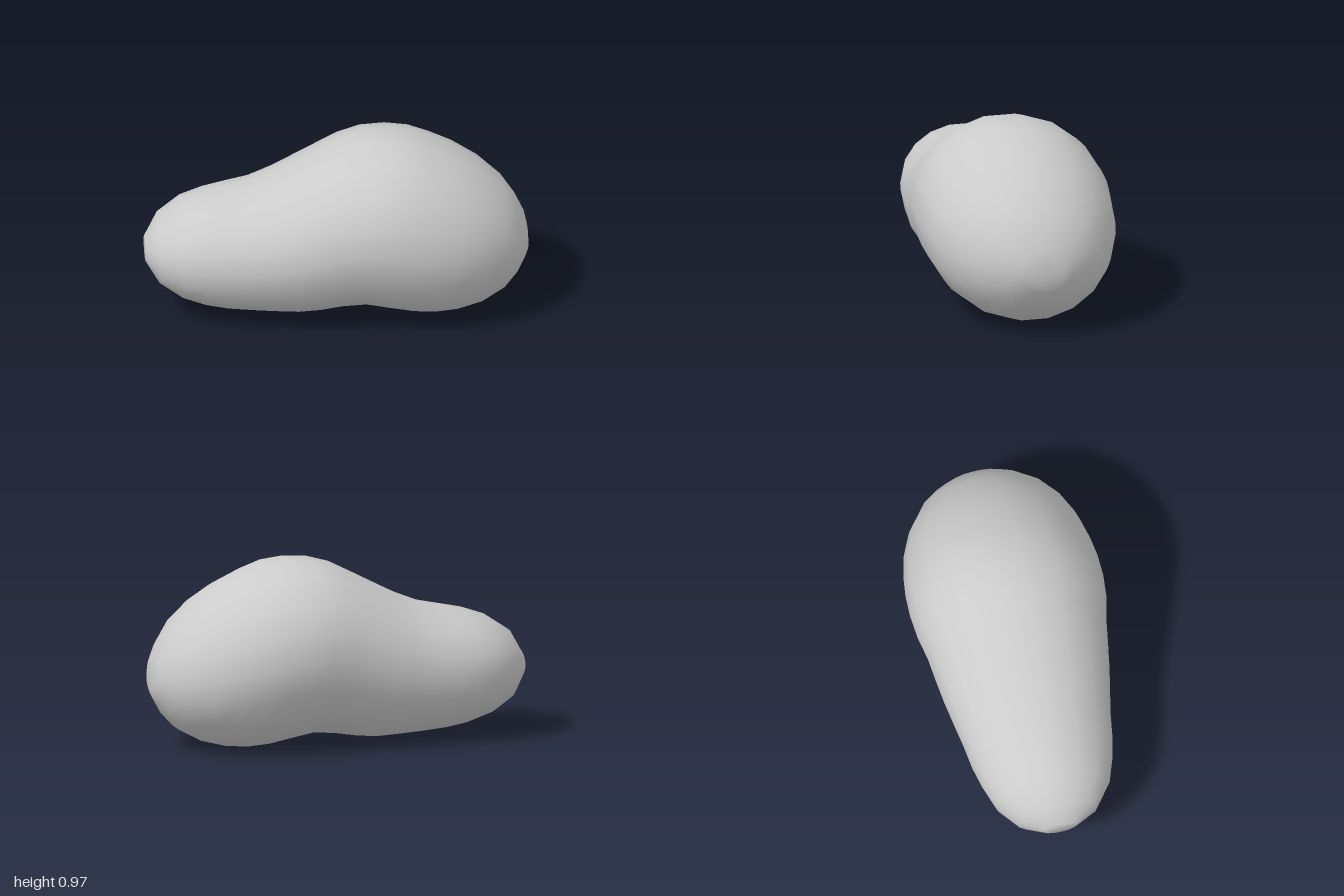
import * as THREE from 'three';

// Cross-sections along the bean: [x, bottom y, top y, half width in z]
const SECTIONS = [
  [-1, 0.3, 0.42, 0.09],
  [-0.93, 0.185, 0.54, 0.215],
  [-0.81, 0.107, 0.62, 0.307],
  [-0.69, 0.067, 0.66, 0.348],
  [-0.58, 0.048, 0.682, 0.375],
  [-0.45, 0.036, 0.708, 0.394],
  [-0.33, 0.028, 0.756, 0.418],
  [-0.21, 0.022, 0.817, 0.442],
  [-0.1, 0.03, 0.874, 0.46],
  [0.02, 0.05, 0.935, 0.478],
  [0.14, 0.062, 0.968, 0.506],
  [0.27, 0.037, 0.975, 0.517],
  [0.39, 0.013, 0.96, 0.514],
  [0.5, 0.004, 0.92, 0.5],
  [0.62, 0.013, 0.865, 0.472],
  [0.75, 0.045, 0.785, 0.415],
  [0.87, 0.11, 0.68, 0.325],
  [0.94, 0.185, 0.58, 0.235],
  [0.985, 0.265, 0.49, 0.145],
  [1, 0.3, 0.42, 0.09],
];
const SIDES = 18;

// Skins elliptical rings and closes both ends
function loftAlongX(sections, sides) {
  const positions = [];
  const index = [];
  const step = (Math.PI * 2) / sides;
  for (const [x, bottom, top, halfZ] of sections) {
    const midY = (bottom + top) / 2;
    // A flat edge, not a corner, lies on the top and bottom
    const radiusY = (top - bottom) / 2 / Math.cos(step / 2);
    for (let j = 0; j < sides; j++) {
      const a = (j + 0.5) * step;
      positions.push(x, midY + radiusY * Math.cos(a), halfZ * Math.sin(a));
    }
  }
  const last = sections.length - 1;
  const startCentre = positions.length / 3;
  for (const [x, bottom, top] of [sections[0], sections[last]]) {
    positions.push(x, (bottom + top) / 2, 0);
  }
  for (let j = 0; j < sides; j++) {
    const k = (j + 1) % sides;
    for (let i = 0; i < last; i++) {
      const p = i * sides;
      const q = p + sides;
      index.push(p + j, p + k, q + j, p + k, q + k, q + j);
    }
    index.push(startCentre, k, j);
    index.push(startCentre + 1, last * sides + j, last * sides + k);
  }
  const geometry = new THREE.BufferGeometry();
  geometry.setAttribute('position', new THREE.Float32BufferAttribute(positions, 3));
  geometry.setIndex(index);
  geometry.computeVertexNormals();
  return geometry;
}

export function createModel() {
  const group = new THREE.Group();
  const material = new THREE.MeshStandardMaterial({ color: 0xcccccc });
  // Single smooth bean-shaped body
  const body = new THREE.Mesh(loftAlongX(SECTIONS, SIDES), material);
  body.name = 'beanBody';
  group.add(body);
  return group;
}
